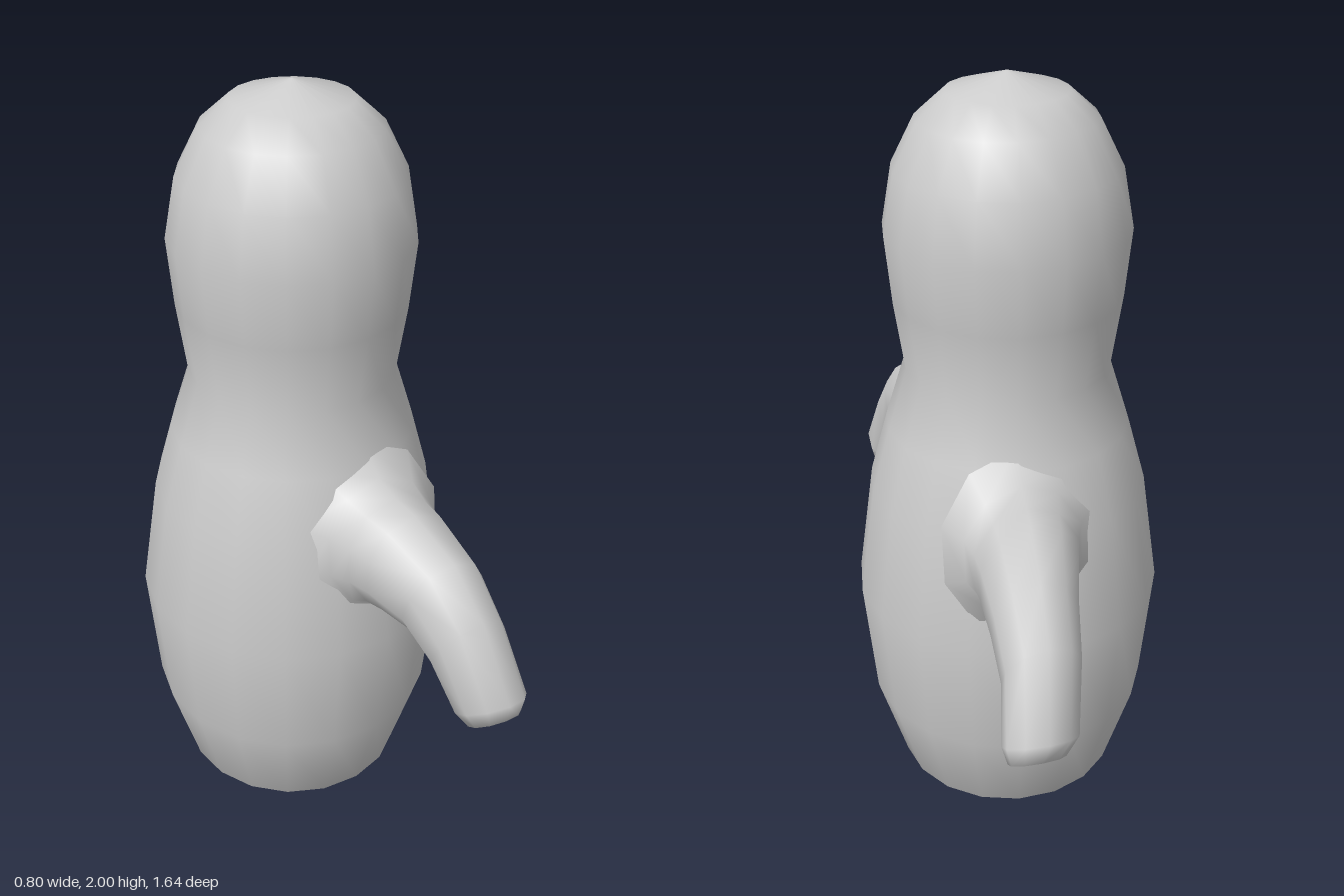
import * as THREE from 'three';

const material = new THREE.MeshStandardMaterial({ color: 0xcccccc });

// Body and head: one smooth 18-sided turned profile, [radius, height]
function makeBody() {
  const profile = [
    [0, 0], [0.2, 0], [0.295, 0.085], [0.37, 0.33], [0.4, 0.65], [0.357, 0.95],
    [0.31, 1.12], [0.26, 1.28], [0.286, 1.46], [0.302, 1.63], [0.275, 1.78],
    [0.217, 1.895], [0.147, 1.957], [0, 2],
  ].map(([r, y]) => new THREE.Vector2(r, y));
  const body = new THREE.Mesh(new THREE.LatheGeometry(profile, 18, Math.PI / 2), material);
  body.name = 'body';
  return body;
}

// Arm sections from shoulder to tip: [top z, top y, bottom z, bottom y, min x, max x]
const armSections = [
  [0.27, 1.17, 0.34, 0.68, -0.14, 0.25],
  [0.335, 1.105, 0.385, 0.765, -0.085, 0.21],
  [0.4, 1.083, 0.42, 0.787, -0.06, 0.2],
  [0.47, 1.073, 0.46, 0.787, -0.04, 0.2],
  [0.615, 1.017, 0.53, 0.772, 0, 0.203],
  [0.725, 0.918, 0.615, 0.72, 0.025, 0.205],
  [0.82, 0.73, 0.675, 0.64, 0.055, 0.226],
  [0.802, 0.668, 0.708, 0.608, 0.085, 0.215],
];

// Arm lofted through elliptical rings, closed at the tip; side is +1 or -1 along z
function makeArm(side) {
  const n = 10;
  const positions = [];
  const index = [];
  const face = (a, b, c) => index.push(...(side > 0 ? [a, b, c] : [a, c, b]));
  for (const [zt, yt, zb, yb, x0, x1] of armSections) {
    for (let i = 0; i < n; i++) {
      const a = ((i + 0.5) / n) * Math.PI * 2;
      const c = Math.cos(a) / 2 / Math.cos(Math.PI / n);
      const s = Math.sin(a) / 2;
      positions.push(
        (x0 + x1) / 2 + c * (x1 - x0),
        (yt + yb) / 2 + s * (yt - yb),
        side * ((zt + zb) / 2 + s * (zt - zb)),
      );
    }
  }
  for (let r = 0; r < armSections.length - 1; r++) {
    for (let i = 0; i < n; i++) {
      const a = r * n + i;
      const b = r * n + ((i + 1) % n);
      face(a, b, a + n);
      face(b, b + n, a + n);
    }
  }
  // Rounded-off tip
  const last = (armSections.length - 1) * n;
  const tip = positions.length / 3;
  positions.push(0.15, 0.632, side * 0.758);
  for (let i = 0; i < n; i++) face(last + i, last + ((i + 1) % n), tip);

  const geometry = new THREE.BufferGeometry();
  geometry.setAttribute('position', new THREE.Float32BufferAttribute(positions, 3));
  geometry.setIndex(index);
  geometry.computeVertexNormals();
  const arm = new THREE.Mesh(geometry, material);
  arm.name = side > 0 ? 'frontArm' : 'backArm';
  return arm;
}

export function createModel() {
  const model = new THREE.Group();
  model.name = 'figure';
  model.add(makeBody(), makeArm(1), makeArm(-1));
  return model;
}
